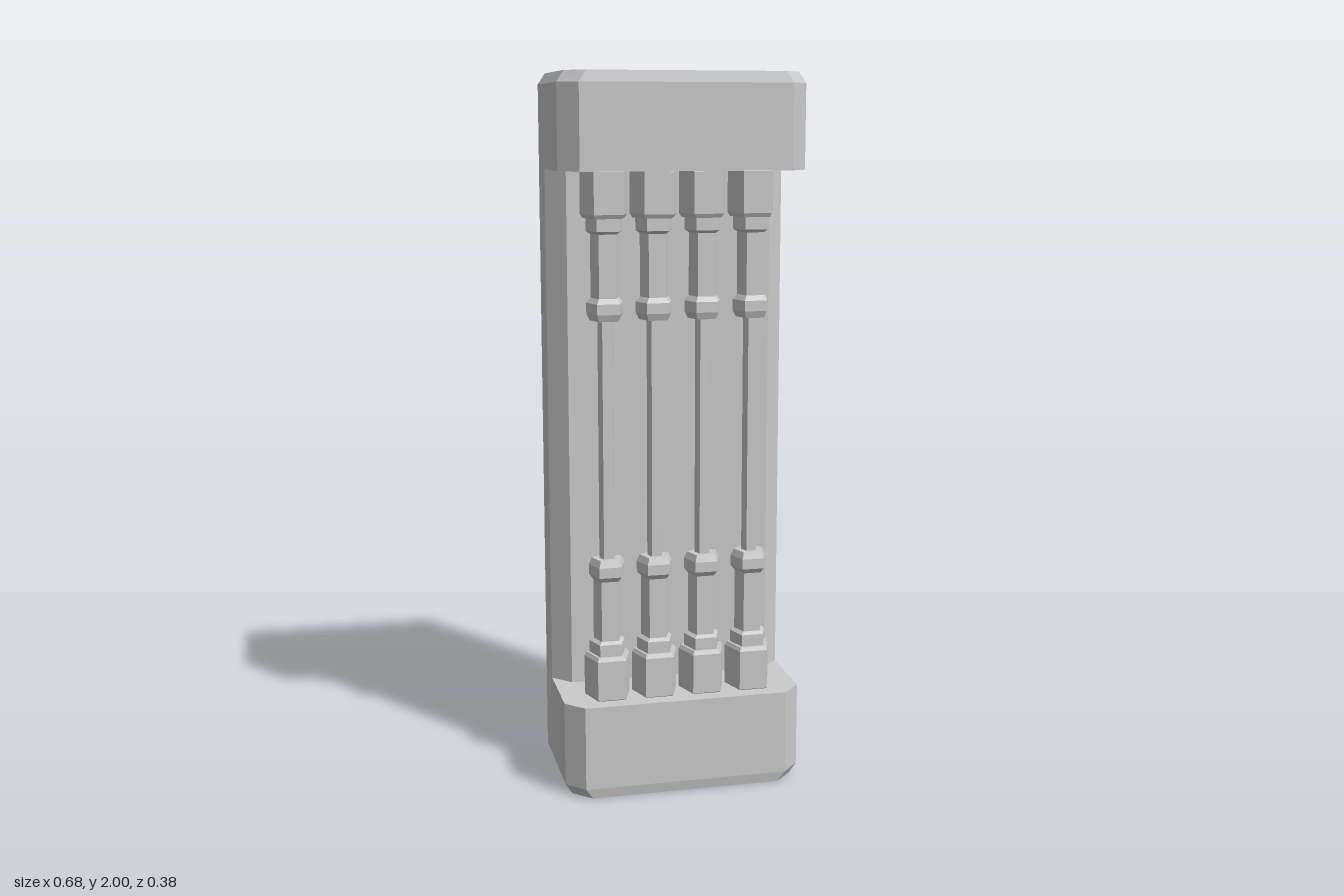
import * as THREE from 'three';

const MID = 1.005; // height the columns are mirrored about

// Open cross-section of the housing, from back -x round the front to back +x
function ring(y, front, inX = 0, inZ = 0) {
  const half = [[0.34 - inX, -0.188 + inZ / 2], [0.34 - inX, front - 0.053 - inZ / 2], [0.29 - inX, front - inZ]];
  return [
    ...half.map(([x, z]) => [-x, y, z]),
    ...half.reverse().map(([x, z]) => [x, y, z]),
  ];
}

// Hollow housing: stacked cross-sections, closed at top and bottom, open at the back
function housingGeometry() {
  const FRONT = 0.188, RECESS = -0.032;
  const rings = [
    ring(0, FRONT, 0.02, 0.006),
    ring(0.03, FRONT),
    ring(0.27, FRONT),
    ring(0.27, RECESS),
    ring(1.74, RECESS),
    ring(1.74, FRONT),
    ring(1.97, FRONT),
    ring(2, FRONT, 0.02, 0.006),
  ];
  const pos = [];
  const tri = (a, b, c) => pos.push(...a, ...b, ...c);
  for (let j = 0; j < rings.length - 1; j++) {
    const lo = rings[j], hi = rings[j + 1];
    const ledge = lo[0][1] === hi[0][1];
    for (let i = 0; i < 5; i++) {
      if (ledge && (i === 0 || i === 4)) continue; // side walls run straight past the ledges
      tri(lo[i], lo[i + 1], hi[i + 1]);
      tri(lo[i], hi[i + 1], hi[i]);
    }
  }
  const bottom = rings[0], top = rings[rings.length - 1];
  for (let i = 1; i < 5; i++) {
    tri(bottom[0], bottom[i + 1], bottom[i]);
    tri(top[0], top[i], top[i + 1]);
  }
  const geo = new THREE.BufferGeometry();
  geo.setAttribute('position', new THREE.Float32BufferAttribute(pos, 3));
  geo.computeVertexNormals();
  return geo;
}

// Five-sided turned column with a flat face forward
function columnGeometry() {
  const lower = [
    [0, 0.264], [0.06, 0.264], [0.068, 0.272], // foot
    [0.068, 0.385], [0.061, 0.396], [0.053, 0.396], // plinth
    [0.053, 0.43], [0.041, 0.438], // collar
    [0.041, 0.61], [0.053, 0.624], [0.053, 0.653], [0.044, 0.672], // sleeve and bulb
    [0.023, 0.672], // rod
  ];
  const upper = lower.map(([r, y]) => [r, 2 * MID - y]).reverse();
  const profile = [...lower, ...upper].map(([r, y]) => new THREE.Vector2(r, y));
  return new THREE.LatheGeometry(profile, 5, Math.PI);
}

export function createModel() {
  const model = new THREE.Group();
  model.name = 'columnPanel';

  const shellMaterial = new THREE.MeshStandardMaterial({ color: 0xcccccc, flatShading: true, side: THREE.DoubleSide });
  const columnMaterial = new THREE.MeshStandardMaterial({ color: 0xcccccc, flatShading: true });

  const housing = new THREE.Mesh(housingGeometry(), shellMaterial);
  housing.name = 'housing';
  model.add(housing);

  // Row of four columns standing in the recess
  const columns = new THREE.Group();
  columns.name = 'columns';
  const geo = columnGeometry();
  for (let i = 0; i < 4; i++) {
    const column = new THREE.Mesh(geo, columnMaterial);
    column.name = `column${i + 1}`;
    column.position.set((i - 1.5) * 0.137, 0, 0.09);
    columns.add(column);
  }
  model.add(columns);

  return model;
}
